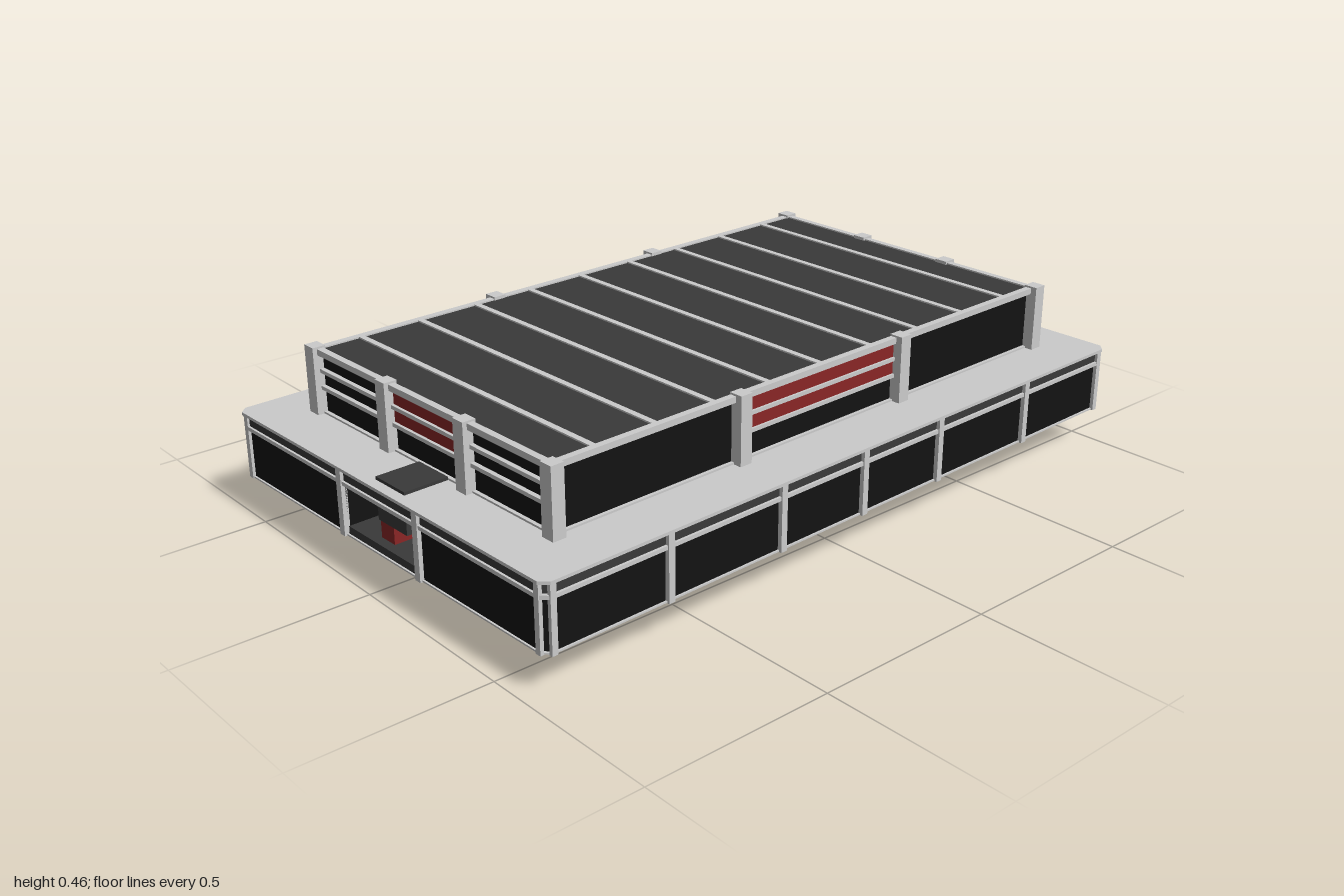
import * as THREE from 'three';

const mat = (color) => new THREE.MeshStandardMaterial({ color, flatShading: true });

export function createModel() {
  const model = new THREE.Group();
  const building = new THREE.Group();
  building.name = 'building';
  building.rotation.y = 0.028;
  model.add(building);

  const light = mat(0xcccccc), black = mat(0x131313), roofDark = mat(0x3a3a3a);
  const floorDark = mat(0x1c1c1c), red = mat(0x8a2626), plateGrey = mat(0x606060);

  const add = (name, geo, m) => {
    const mesh = new THREE.Mesh(geo, m);
    mesh.name = name;
    building.add(mesh);
    return mesh;
  };
  // box given by its limits on each axis
  const box = (name, m, x0, x1, y0, y1, z0, z1) => {
    const mesh = add(name, new THREE.BoxGeometry(x1 - x0, y1 - y0, z1 - z0), m);
    mesh.position.set((x0 + x1) / 2, (y0 + y1) / 2, (z0 + z1) / 2);
    return mesh;
  };
  // chamfered rectangular slab, optionally with a notch in the front edge
  const slab = (name, m, w, l, y0, y1, chamfer, notch) => {
    const c = chamfer;
    const pts = [[-w, -l + c], [-w + c, -l], [w - c, -l], [w, -l + c], [w, l - c], [w - c, l]];
    if (notch) pts.push([notch.x, l], [notch.x, l - notch.depth], [-notch.x, l - notch.depth], [-notch.x, l]);
    pts.push([-w + c, l], [-w, l - c]);
    // shape y is mapped to -z
    const shape = new THREE.Shape(pts.map(([x, z]) => new THREE.Vector2(x, -z)));
    const geo = new THREE.ExtrudeGeometry(shape, { depth: y1 - y0, bevelEnabled: false });
    geo.rotateX(-Math.PI / 2).translate(0, y0, 0);
    return add(name, geo, m);
  };

  // lower storey
  const entry = { x: 0.145, depth: 0.12 };
  slab('basePlate', floorDark, 0.603, 0.972, 0.1, 0.108, 0.02);
  slab('baseTrim', light, 0.608, 0.977, 0.103, 0.107, 0.02);
  slab('lowerWalls', black, 0.603, 0.972, 0.107, 0.235, 0.02, entry);
  slab('wallTrim', light, 0.612, 0.98, 0.235, 0.245, 0.02);
  slab('parapet', roofDark, 0.605, 0.974, 0.245, 0.272, 0.02);
  slab('terrace', light, 0.615, 0.983, 0.272, 0.28, 0.02);

  // wall posts of the lower storey
  for (const s of [-1, 1]) {
    for (const x of [-0.155, 0.155])
      box('lowerPost', light, x - 0.01, x + 0.01, 0.102, 0.276, s * 0.975 - 0.008, s * 0.975 + 0.008);
    for (const z of [-0.63, -0.28, 0, 0.28, 0.63])
      box('lowerPost', light, s * 0.607 - 0.008, s * 0.607 + 0.008, 0.102, 0.276, z - 0.009, z + 0.009);
    for (const t of [-1, 1]) {
      box('cornerPost', light, s * 0.608 - 0.005, s * 0.608 + 0.005, 0.102, 0.276, t * 0.955 - 0.008, t * 0.955 + 0.008);
      box('cornerPost', light, s * 0.586 - 0.008, s * 0.586 + 0.008, 0.102, 0.276, t * 0.975 - 0.005, t * 0.975 + 0.005);
    }
  }

  // entrance in the front recess
  box('entranceFloor', roofDark, -0.145, 0.145, 0.106, 0.125, 0.85, 0.97);
  box('entranceBooth', roofDark, -0.035, 0.08, 0.178, 0.288, 0.835, 0.955);
  box('entranceMarker', red, -0.035, 0.018, 0.13, 0.178, 0.9, 0.95);

  // rear terrace hatch and side vent
  box('rearHatch', light, -0.155, 0.155, 0.275, 0.288, -0.97, -0.86);
  for (const y of [0.165, 0.185, 0.205])
    box('sideVent', light, -0.607, -0.6, y - 0.002, y + 0.002, -0.19, -0.07);

  // upper storey
  box('upperWalls', black, -0.455, 0.455, 0.275, 0.445, -0.825, 0.825);
  for (const s of [-1, 1]) {
    box('roofRimSide', light, s * 0.46 - 0.009, s * 0.46 + 0.009, 0.437, 0.453, -0.835, 0.835);
    box('roofRimEnd', light, -0.469, 0.469, 0.437, 0.453, s * 0.832 - 0.009, s * 0.832 + 0.009);
    box('sillSide', light, s * 0.458 - 0.006, s * 0.458 + 0.006, 0.279, 0.285, -0.83, 0.83);
    box('sillEnd', light, -0.462, 0.462, 0.279, 0.285, s * 0.829 - 0.006, s * 0.829 + 0.006);
    box('sidePanel', red, s * 0.457 - 0.004, s * 0.457 + 0.004, 0.355, 0.437, -0.28, 0.28);
    for (const y of [0.35, 0.395]) {
      box('sideRail', light, s * 0.461 - 0.006, s * 0.461 + 0.006, y - 0.005, y + 0.005, -0.28, 0.28);
      box('endRail', light, -0.46, 0.46, y - 0.005, y + 0.005, s * 0.831 - 0.006, s * 0.831 + 0.006);
    }
  }
  box('frontPanel', red, -0.155, 0.155, 0.355, 0.437, 0.82, 0.829);

  // pillars running through both storeys, feet showing below
  const pillar = (x, z) => box('pillar', light, x - 0.019, x + 0.019, 0.099, 0.458, z - 0.018, z + 0.018);
  for (const s of [-1, 1]) {
    for (const x of [-0.467, -0.155, 0.155, 0.467]) if (s < 0 || Math.abs(x) > 0.2) pillar(x, s * 0.835);
    for (const z of [-0.28, 0.28]) pillar(s * 0.468, z);
  }
  for (const x of [-0.155, 0.155]) pillar(x, 0.835);

  // roof with cross strips
  box('roof', roofDark, -0.455, 0.455, 0.44, 0.449, -0.825, 0.825);
  for (let i = -4; i <= 4; i++)
    box('roofStrip', light, -0.46, 0.46, 0.445, 0.453, i * 0.1775 - 0.008, i * 0.1775 + 0.008);

  // underside: centre plate, round pads, ramp plate and two skirts
  box('centrePlate', plateGrey, -0.27, 0.27, 0.097, 0.102, -0.375, 0.055);
  for (const x of [-0.22, 0.22]) for (const z of [-0.41, 0.09])
    add('roundPad', new THREE.CylinderGeometry(0.03, 0.03, 0.006, 16), plateGrey).position.set(x, 0.099, z);
  box('rampPlate', floorDark, -0.43, 0.43, 0.092, 0.101, 0.62, 0.74);
  box('rampEdge', light, -0.43, 0.43, 0.094, 0.101, 0.612, 0.62);
  for (const s of [-1, 1])
    box('skirt', black, s * 0.235 - 0.205, s * 0.235 + 0.205, 0, 0.102, 0.768, 0.785);

  return model;
}
